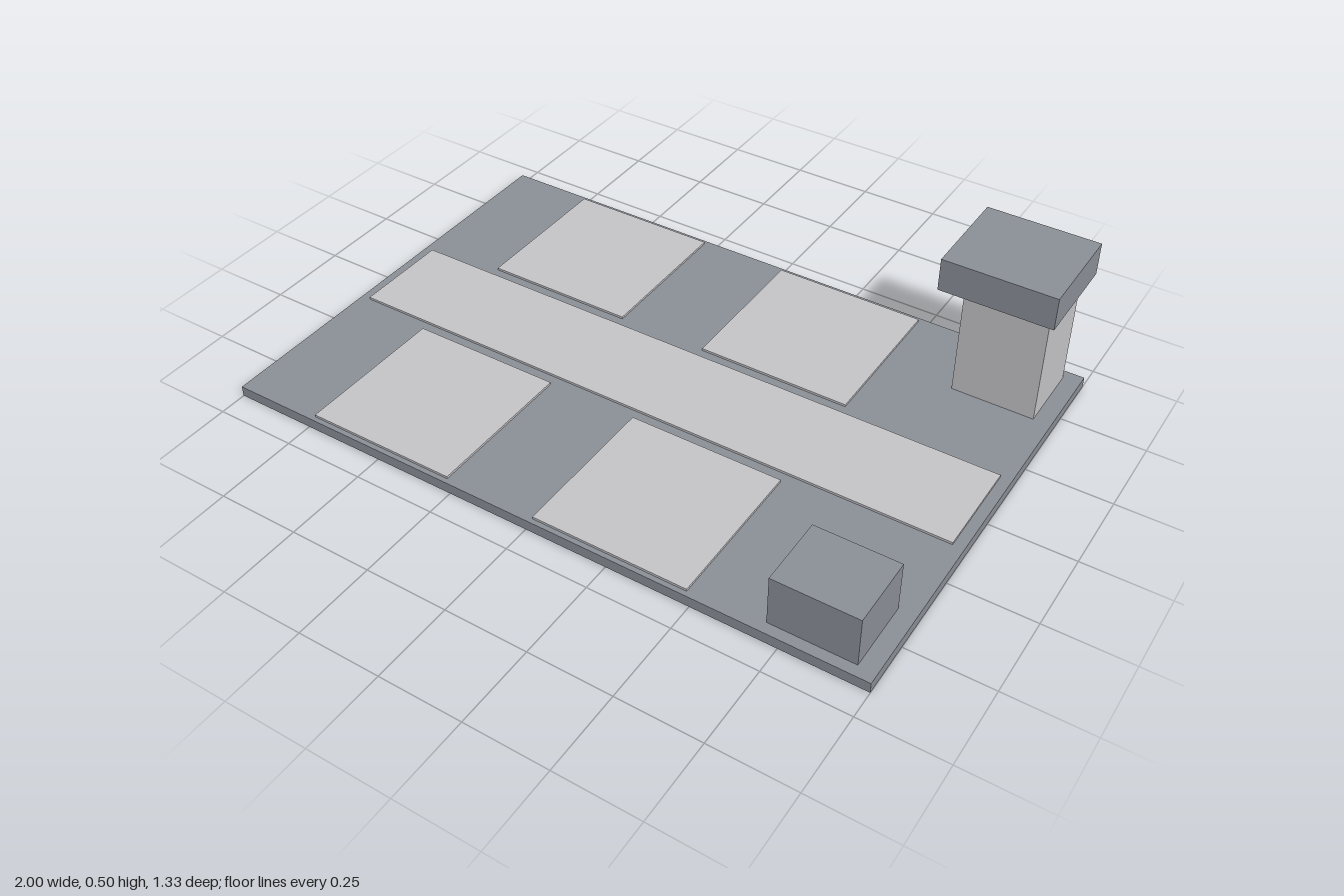
import * as THREE from 'three';

export function createModel() {
  const group = new THREE.Group();
  group.name = 'courtyard';

  const slate = new THREE.MeshStandardMaterial({ color: 0x8c9098 });
  slate.name = 'slate grey';
  const pale = new THREE.MeshStandardMaterial({ color: 0xc6c5c8 });
  pale.name = 'pale grey';

  // Box given by its extents on each axis
  const block = (name, material, [x0, x1], [y0, y1], [z0, z1]) => {
    const mesh = new THREE.Mesh(new THREE.BoxGeometry(x1 - x0, y1 - y0, z1 - z0), material);
    mesh.position.set((x0 + x1) / 2, (y0 + y1) / 2, (z0 + z1) / 2);
    mesh.name = name;
    group.add(mesh);
  };

  // Ground slab, a hair above the tower foot so the foot shows underneath
  const top = 0.033;
  block('baseSlab', slate, [-1, 1], [0.001, top], [-0.667, 0.667]);

  // Raised paving: a central path and two pads on either side
  const paving = [top, 0.04];
  block('centralPath', pale, [-0.97, 0.967], paving, [-0.15, 0.15]);
  for (const [side, x] of [['right', [-0.735, -0.268]], ['left', [0.013, 0.484]]]) {
    block(`${side}BackPad`, pale, x, paving, [-0.652, -0.183]);
    block(`${side}FrontPad`, pale, x, paving, [0.183, 0.652]);
  }

  // Tower with an overhanging cap
  block('towerShaft', pale, [0.7, 0.948], [0, 0.402], [-0.634, -0.418]);
  block('towerCap', slate, [0.648, 0.981], [0.402, 0.502], [-0.65, -0.35]);

  // Low block at the front corner
  block('cornerBlock', slate, [0.7, 0.948], [top, 0.185], [0.42, 0.634]);

  return group;
}
